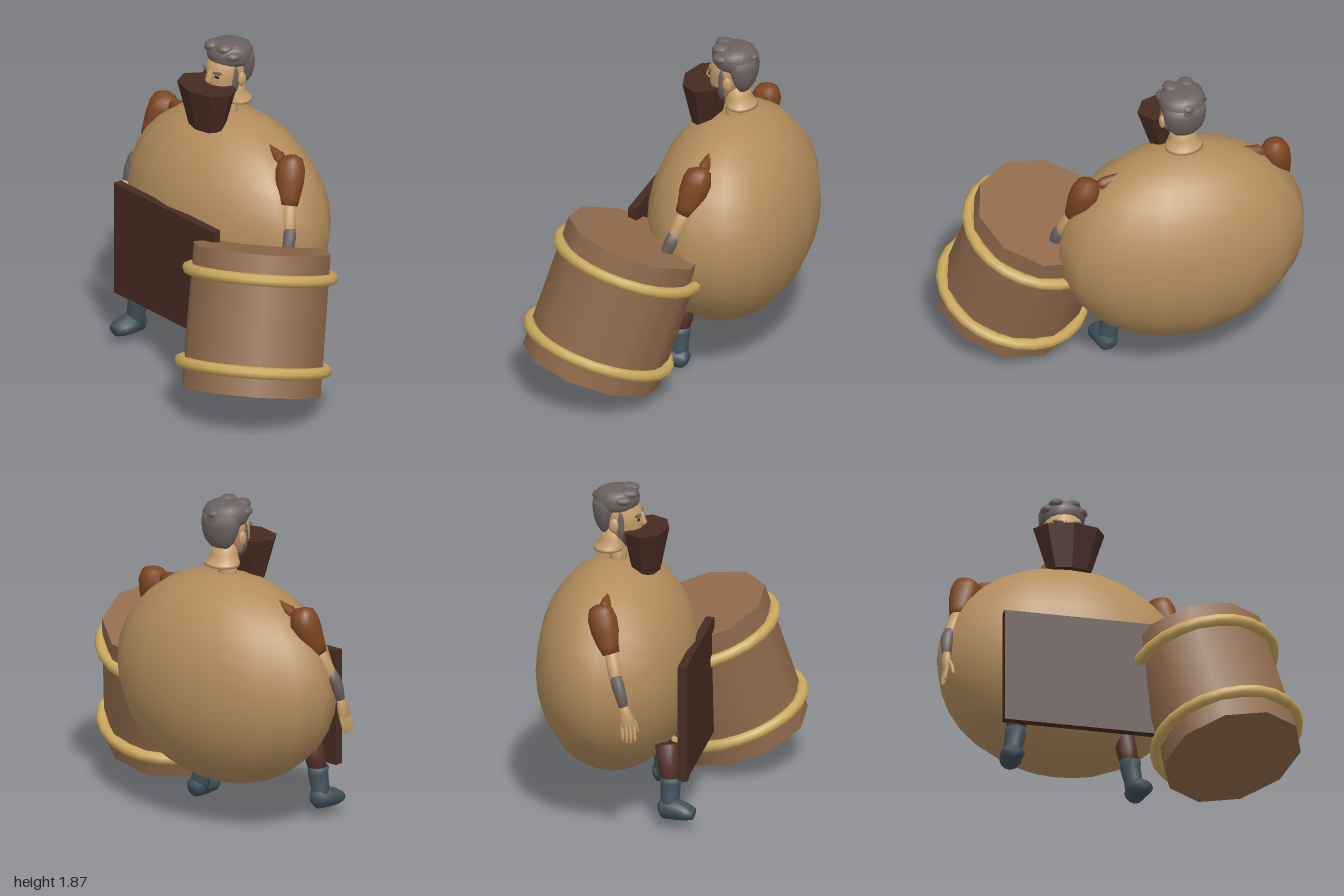
import * as THREE from 'three';

const mat = (name, color) => Object.assign(new THREE.MeshStandardMaterial({ color }), { name });
const CX = -0.26; // centre line of the figure

// Closed skin over rings; each ring is { c, u, v } (centre and two half axes)
function skin(rings, seg) {
  const zero = new THREE.Vector3();
  const first = rings[0], last = rings[rings.length - 1];
  const all = [{ c: first.c, u: zero, v: zero }, ...rings, { c: last.c, u: zero, v: zero }];
  const pos = [], idx = [];
  all.forEach(({ c, u, v }, i) => {
    for (let j = 0; j < seg; j++) {
      const a = (j / seg) * Math.PI * 2;
      const p = c.clone().addScaledVector(u, Math.cos(a)).addScaledVector(v, Math.sin(a));
      pos.push(p.x, p.y, p.z);
      if (i === all.length - 1) continue;
      const k = i * seg + j, n = i * seg + (j + 1) % seg;
      idx.push(k, k + seg, n, n, k + seg, n + seg);
    }
  });
  const g = new THREE.BufferGeometry();
  g.setAttribute('position', new THREE.Float32BufferAttribute(pos, 3));
  g.setIndex(idx);
  g.computeVertexNormals();
  return g;
}

// Horizontal sections, bottom to top: [y, zFront, zBack, halfWidth]
const loft = (rows, seg = 18) => skin(rows.map(([y, f, b, w]) => ({
  c: new THREE.Vector3(CX, y, (f + b) / 2),
  u: new THREE.Vector3(w, 0, 0),
  v: new THREE.Vector3(0, 0, (f - b) / 2),
})), seg);

// Round sections along a path: [x, y, z, halfWidth, halfDepth]
function sweep(rows, seg = 12) {
  const pts = rows.map(r => new THREE.Vector3(r[0], r[1], r[2]));
  return skin(rows.map((r, i) => {
    const t = pts[Math.min(i + 1, pts.length - 1)].clone().sub(pts[Math.max(i - 1, 0)]).normalize();
    const u = new THREE.Vector3(1, 0, 0).addScaledVector(t, -t.x).normalize();
    const v = u.clone().cross(t);
    return { c: pts[i], u: u.multiplyScalar(r[3]), v: v.multiplyScalar(r[4] ?? r[3]) };
  }), seg);
}

export function createModel() {
  const root = new THREE.Group();
  const M = {
    belly: mat('belly tan', 0xb38c5c),
    skin: mat('skin', 0xc79e6c),
    hair: mat('grey hair', 0x6b6160),
    dark: mat('dark wood', 0x462a21),
    barrel: mat('barrel wood', 0x906a4c),
    rope: mat('hoop gold', 0xcaa75c),
    sleeve: mat('sleeve rust', 0x7f4622),
    boot: mat('boot slate', 0x41505a),
    trouser: mat('trouser brown', 0x54322a),
    eye: mat('eye dark', 0x2a2624),
  };
  const add = (name, geo, m, parent = root) => {
    const mesh = new THREE.Mesh(geo, m);
    mesh.name = name;
    parent.add(mesh);
    return mesh;
  };
  const ball = (name, m, p, s, parent, w = 14, h = 10) => {
    const b = add(name, new THREE.SphereGeometry(1, w, h), m, parent);
    b.position.set(...p);
    b.scale.set(...s);
    return b;
  };
  const group = name => {
    const g = new THREE.Group();
    g.name = name;
    root.add(g);
    return g;
  };

  // Huge round body
  ball('body', M.belly, [CX, 0.84, -0.24], [0.72, 0.61, 0.45], root, 16, 16);

  // Board hung in front
  add('frontBoard', new THREE.BoxGeometry(0.875, 0.67, 0.05), M.dark).position.set(-0.2625, 0.635, 0.205);

  // Eight-sided cup hiding the chin
  const cupGeo = new THREE.CylinderGeometry(0.205, 0.125, 0.25, 8).toNonIndexed();
  cupGeo.computeVertexNormals();
  const cup = add('chinCup', cupGeo, M.dark);
  cup.position.set(CX, 1.51, -0.08);
  cup.scale.z = 0.65;

  // Tilted barrel with two hoops
  const barrel = group('barrel');
  barrel.position.set(0.513, 0.548, 0.194);
  barrel.quaternion.setFromUnitVectors(
    new THREE.Vector3(0, 1, 0), new THREE.Vector3(-0.197, 0.944, -0.261).normalize());
  add('barrelBody', new THREE.CylinderGeometry(0.395, 0.4, 0.8, 10), M.barrel, barrel).rotation.y = Math.PI / 10;
  for (const [y, r] of [[0.26, 0.405], [-0.26, 0.41]]) {
    const hoop = add('barrelHoop', new THREE.TorusGeometry(r, 0.034, 8, 24), M.rope, barrel);
    hoop.rotation.x = Math.PI / 2;
    hoop.position.y = y;
  }

  // Head, neck and face
  const head = group('head');
  add('neck', loft([[1.4, -0.19, -0.285, 0.06], [1.53, -0.19, -0.285, 0.06]]), M.skin, head);
  add('neckBase', loft([[1.5, -0.2, -0.375, 0.11], [1.515, -0.19, -0.37, 0.105],
    [1.56, -0.19, -0.335, 0.075], [1.64, -0.19, -0.335, 0.075]]), M.skin, head);
  add('skull', loft([[1.53, -0.12, -0.2, 0.04], [1.57, -0.105, -0.25, 0.075], [1.63, -0.1, -0.31, 0.1],
    [1.69, -0.1, -0.34, 0.111], [1.73, -0.105, -0.35, 0.112], [1.79, -0.135, -0.34, 0.1]]), M.skin, head);
  add('nose', sweep([[CX, 1.645, -0.098, 0.02, 0.01], [CX, 1.66, -0.09, 0.021, 0.018],
    [CX, 1.72, -0.106, 0.011, 0.01]], 8), M.skin, head);
  add('beard', loft([[1.525, -0.105, -0.2, 0.045], [1.57, -0.09, -0.235, 0.085],
    [1.615, -0.092, -0.24, 0.106], [1.635, -0.11, -0.235, 0.108]]), M.hair, head);
  add('backHair', loft([[1.61, -0.27, -0.335, 0.065], [1.65, -0.25, -0.36, 0.1], [1.7, -0.225, -0.375, 0.118],
    [1.75, -0.2, -0.382, 0.125], [1.8, -0.2, -0.375, 0.12]]), M.hair, head);
  add('topHair', loft([[1.745, -0.135, -0.37, 0.118], [1.77, -0.12, -0.38, 0.128], [1.81, -0.115, -0.375, 0.133],
    [1.84, -0.13, -0.355, 0.118], [1.86, -0.155, -0.32, 0.08]]), M.hair, head);
  // Wavy locks swept back
  for (const [x, y, z] of [[-0.05, 1.84, -0.17], [0.045, 1.845, -0.18], [-0.03, 1.83, -0.26],
    [0.06, 1.825, -0.27], [0, 1.81, -0.33], [0.09, 1.81, -0.2], [-0.09, 1.81, -0.2]]) {
    ball('hairLock', M.hair, [CX + x, y, z], [0.045, 0.03, 0.055], head, 10, 8);
  }
  for (const s of [-1, 1]) {
    ball('ear', M.skin, [CX + s * 0.115, 1.665, -0.24], [0.016, 0.042, 0.028], head, 10, 8);
    ball('sideburn', M.hair, [CX + s * 0.102, 1.67, -0.205], [0.014, 0.08, 0.022], head, 10, 8);
    ball('eye', M.eye, [CX + s * 0.048, 1.689, -0.113], [0.02, 0.008, 0.008], head, 10, 6);
    const brow = ball('eyebrow', M.hair, [CX + s * 0.052, 1.712, -0.115], [0.034, 0.009, 0.012], head, 10, 6);
    brow.rotation.set(0, s * 0.25, s * 0.12);
  }

  // Arms, mirrored about the centre line
  for (const s of [-1, 1]) {
    const arm = group(s > 0 ? 'leftArm' : 'rightArm');
    const path = rows => rows.map(([x, ...rest]) => [CX + s * x, ...rest]);
    add('sleeve', sweep(path([[0.545, 1.345, -0.235, 0.035], [0.55, 1.325, -0.235, 0.068], [0.56, 1.27, -0.225, 0.084],
      [0.578, 1.2, -0.205, 0.08], [0.6, 1.13, -0.185, 0.062], [0.61, 1.085, -0.17, 0.054]])), M.sleeve, arm);
    const strap = add('shoulderTab', sweep([[0, -0.06, 0, 0.03], [0, -0.03, 0, 0.042, 0.034],
      [0, 0.03, 0, 0.026], [0, 0.08, 0, 0.02]], 8), M.sleeve, arm);
    strap.position.set(CX + s * 0.425, 1.315, -0.23);
    strap.rotation.z = -s * 1.2 + Math.PI;
    strap.rotation.z = s * 1.2;
    add('forearm', sweep(path([[0.606, 1.11, -0.175, 0.042], [0.64, 1.03, -0.15, 0.04],
      [0.675, 0.95, -0.125, 0.034]])), M.skin, arm);
    add('wristBand', sweep(path([[0.67, 0.97, -0.13, 0.033], [0.686, 0.93, -0.115, 0.037],
      [0.697, 0.87, -0.095, 0.033], [0.7, 0.81, -0.08, 0.026]])), M.hair, arm);
    add('palm', sweep(path([[0.7, 0.82, -0.082, 0.022], [0.705, 0.77, -0.07, 0.024, 0.036],
      [0.712, 0.7, -0.055, 0.02, 0.044]])), M.skin, arm);
    for (let i = 0; i < 4; i++) {
      const z = -0.09 + i * 0.023;
      add('finger', sweep(path([[0.712, 0.71, z, 0.012], [0.722, 0.65, z + 0.01, 0.011],
        [0.726, 0.6 + Math.abs(i - 1.5) * 0.012, z + 0.012, 0.007]]), 6), M.skin, arm);
    }
    add('thumb', sweep(path([[0.7, 0.76, -0.045, 0.013], [0.685, 0.71, -0.015, 0.012],
      [0.68, 0.66, 0, 0.008]]), 6), M.skin, arm);
  }

  // Walking legs: right one steps forward, left one stays behind
  const leg = (name, x, y, z, lean) => {
    const g = group(name);
    add('trouserLeg', sweep([[x - lean * 1.2, y + 0.42, z - 0.03, 0.065], [x - lean * 0.5, y + 0.3, z - 0.015, 0.058],
      [x, y + 0.22, z, 0.053]]), M.trouser, g);
    add('bootShaft', sweep([[x, y + 0.24, z, 0.062], [x, y + 0.2, z, 0.058],
      [x + lean * 0.6, y + 0.12, z, 0.053], [x + lean, y + 0.04, z - 0.005, 0.058]]), M.boot, g);
    add('bootFoot', sweep([[x + lean, y + 0.055, z - 0.06, 0.035, 0.035], [x + lean, y + 0.06, z - 0.04, 0.056, 0.056],
      [x + lean * 1.2, y + 0.062, z + 0.03, 0.063, 0.062], [x + lean * 1.4, y + 0.048, z + 0.1, 0.066, 0.046],
      [x + lean * 1.5, y + 0.04, z + 0.14, 0.045, 0.032]]), M.boot, g);
  };
  leg('rightLeg', -0.615, 0.05, 0.125, -0.025);
  leg('leftLeg', 0.085, 0, -0.045, 0.03);

  return root;
}
